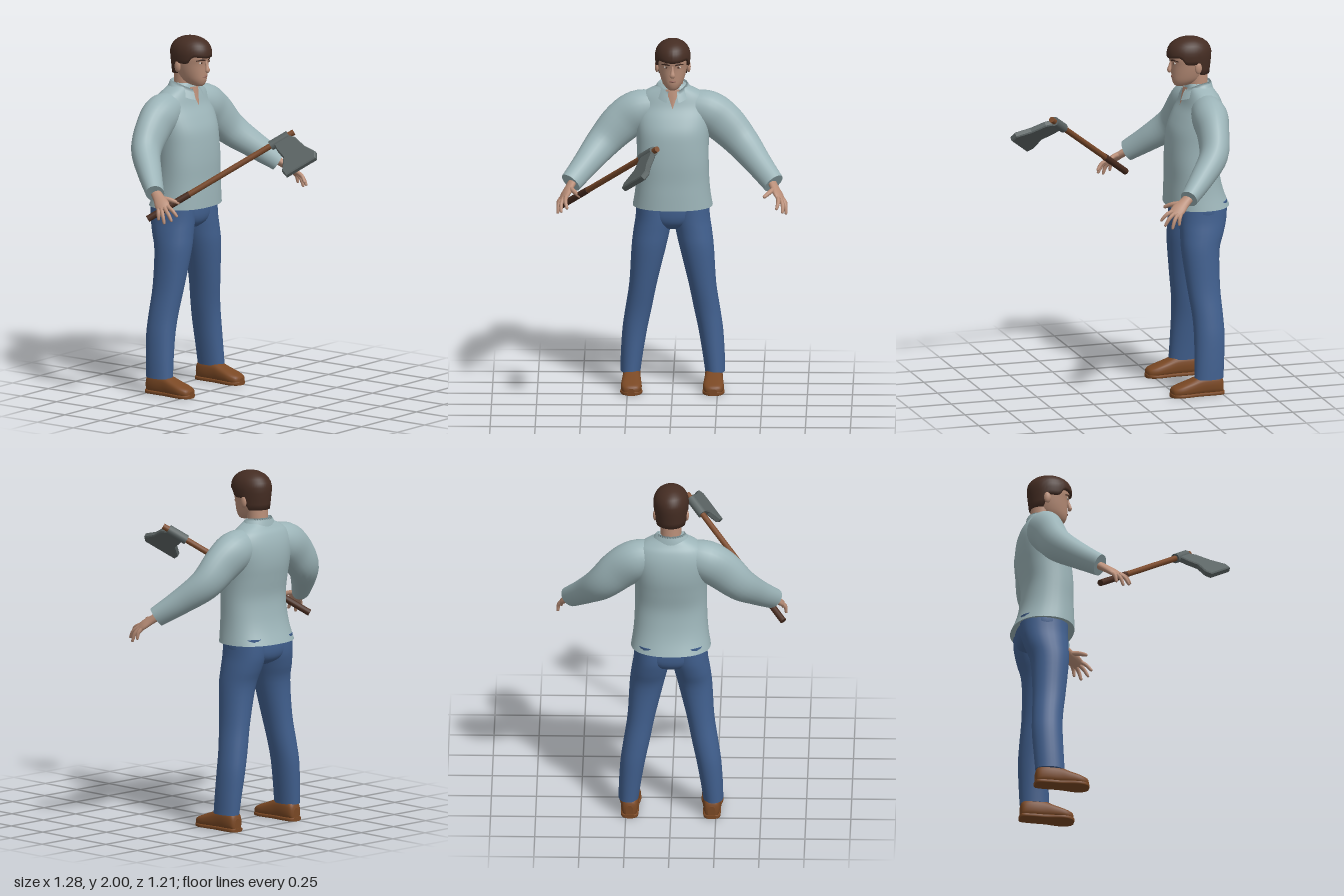
import * as THREE from 'three';

const mat = (name, color, double) => {
  const m = new THREE.MeshStandardMaterial({ color });
  m.name = name;
  if (double) m.side = THREE.DoubleSide;
  return m;
};
const TAU = Math.PI * 2;

// Catmull-Rom resampling of rows of numbers
function resample(rows, steps) {
  const out = [], n = rows.length, row = (i) => rows[Math.min(n - 1, Math.max(0, i))];
  for (let i = 0; i < n - 1; i++) {
    for (let s = 0; s < steps; s++) {
      const t = s / steps;
      out.push(rows[i].map((b, k) => {
        const a = row(i - 1)[k], c = row(i + 1)[k], d = row(i + 2)[k];
        return b + 0.5 * t * (c - a + t * (2 * a - 5 * b + 4 * c - d + t * (3 * (b - c) + d - a)));
      }));
    }
  }
  out.push(rows[n - 1]);
  return out;
}

// Skin over closed cross-sections, with separate flat end caps
function loft(rings) {
  const n = rings[0].length, pos = [], idx = [];
  rings.forEach((r) => r.forEach((p) => pos.push(...p)));
  for (let i = 0; i < rings.length - 1; i++) {
    for (let j = 0; j < n; j++) {
      const a = i * n + j, b = i * n + (j + 1) % n;
      idx.push(a, b, b + n, a, b + n, a + n);
    }
  }
  [rings[0], rings[rings.length - 1]].forEach((r, end) => {
    const base = pos.length / 3;
    r.forEach((p) => pos.push(...p));
    pos.push(...[0, 1, 2].map((k) => r.reduce((s, p) => s + p[k], 0) / n));
    for (let j = 0; j < n; j++) {
      const a = base + j, b = base + (j + 1) % n;
      idx.push(base + n, end ? a : b, end ? b : a);
    }
  });
  const g = new THREE.BufferGeometry();
  g.setAttribute('position', new THREE.Float32BufferAttribute(pos, 3));
  g.setIndex(idx);
  g.computeVertexNormals();
  return g;
}

const angles = (n) => Array.from({ length: n }, (_, j) => (j / n) * TAU);
const pw = (v, e) => Math.sign(v) * Math.abs(v) ** e;

// Upright body: rows of [y, centre x, half width, front z, back z], rising
const upright = (rows, e = 1, n = 32) => loft(resample(rows, 4).map(([y, cx, rx, zf, zb]) =>
  angles(n).map((t) => [cx + rx * pw(Math.sin(t), e), y, (zf + zb) / 2 + (zf - zb) / 2 * pw(Math.cos(t), e)])));

// Limb along a path: rows of [x, y, z, radius a, radius b]; b lies along ref
function limb(rows, s = 1, ref = [0, 0, 1], n = 16, steps = 5) {
  const path = resample(rows.map(([x, ...r]) => [x * s, ...r]), steps);
  const at = (i) => new THREE.Vector3(...path[Math.min(path.length - 1, Math.max(0, i))].slice(0, 3));
  const up = new THREE.Vector3(ref[0] * s, ref[1], ref[2]);
  return loft(path.map(([, , , ra, rb], i) => {
    const T = at(i + 1).sub(at(i - 1)).normalize();
    const B = up.clone().addScaledVector(T, -up.dot(T)).normalize();
    const A = B.clone().cross(T);
    return angles(n).map((t) => at(i).addScaledVector(A, ra * Math.cos(t)).addScaledVector(B, rb * Math.sin(t)).toArray());
  }));
}

// Open sheet from rows of points
function sheet(rows) {
  const n = rows[0].length, idx = [];
  for (let i = 0; i < rows.length - 1; i++) {
    for (let j = 0; j < n - 1; j++) {
      const a = i * n + j;
      idx.push(a, a + 1, a + n + 1, a, a + n + 1, a + n);
    }
  }
  const g = new THREE.BufferGeometry();
  g.setAttribute('position', new THREE.Float32BufferAttribute(rows.flat(2), 3));
  g.setIndex(idx);
  g.computeVertexNormals();
  return g;
}

export function createModel() {
  const model = new THREE.Group();
  model.name = 'manWithAxe';
  const shirt = mat('shirt', 0x9cb4b8, true), denim = mat('denim', 0x41608f), leather = mat('shoeLeather', 0x7a4824);
  const skin = mat('skin', 0xb98e78, true), hair = mat('hair', 0x452d23, true), steel = mat('steel', 0x5c6565);
  const wood = mat('wood', 0x7c4b2c), grip = mat('grip', 0x4a2d20), white = mat('eyeWhite', 0xd8d0c8), lip = mat('lips', 0x96665a);
  const add = (name, geo, m, parent = model) => {
    const mesh = new THREE.Mesh(geo, m);
    mesh.name = name;
    parent.add(mesh);
    return mesh;
  };
  const ball = (name, m, p, sc) => {
    const b = add(name, new THREE.SphereGeometry(1, 14, 10), m);
    b.position.set(...p);
    b.scale.set(...sc);
  };

  // Shirt body and pelvis
  add('shirtBody', upright([
    [1.045, 0, 0.222, -0.25, -0.6], [1.12, 0, 0.21, -0.252, -0.57], [1.2, 0, 0.203, -0.255, -0.55],
    [1.3, 0, 0.2, -0.255, -0.54], [1.4, 0, 0.2, -0.262, -0.555], [1.48, 0, 0.205, -0.275, -0.568],
    [1.55, 0, 0.21, -0.305, -0.57], [1.61, 0, 0.205, -0.338, -0.562], [1.66, 0, 0.185, -0.355, -0.545],
    [1.69, 0, 0.15, -0.365, -0.525], [1.715, 0, 0.1, -0.372, -0.51], [1.735, 0, 0.068, -0.38, -0.5],
  ], 0.88, 40), shirt);
  add('trouserSeat', upright([
    [0.92, 0, 0.06, -0.35, -0.5], [0.95, 0, 0.14, -0.315, -0.55], [1.0, 0, 0.2, -0.3, -0.57], [1.09, 0, 0.2, -0.3, -0.57],
  ], 0.9), denim);

  // Shirt collar: stand, fold and fall around the neck, open at the front
  const collarRow = (y, dip, rx, rz, out) => Array.from({ length: 33 }, (_, j) => {
    const t = 0.3 + (j / 32) * (TAU - 0.6), k = ((1 + Math.cos(t)) / 2) ** 3;
    return [rx * Math.sin(t), y - dip * k, -0.435 + (rz + out * k) * Math.cos(t)];
  });
  add('collar', sheet([collarRow(1.7, 0.04, 0.072, 0.066, 0.01), collarRow(1.747, 0.045, 0.078, 0.07, 0.012),
    collarRow(1.735, 0.055, 0.088, 0.077, 0.02), collarRow(1.697, 0.055, 0.112, 0.085, 0.03)]), shirt);
  add('openNeck', sheet([[[-0.04, 1.715, -0.364], [0, 1.715, -0.352], [0.04, 1.715, -0.364]],
    [[-0.02, 1.665, -0.348], [0, 1.665, -0.343], [0.02, 1.665, -0.348]],
    [[-0.001, 1.612, -0.331], [0, 1.612, -0.331], [0.001, 1.612, -0.331]]]), skin);

  for (const [s, side] of [[1, 'left'], [-1, 'right']]) {
    // Sleeve
    add(side + 'Sleeve', limb([
      [0.08, 1.6, -0.445, 0.09, 0.08], [0.19, 1.575, -0.445, 0.115, 0.1], [0.285, 1.508, -0.435, 0.115, 0.088],
      [0.385, 1.405, -0.405, 0.096, 0.08], [0.48, 1.305, -0.305, 0.075, 0.066], [0.563, 1.22, -0.205, 0.062, 0.05],
    ], s, [0, 0, 1], 24), shirt);
    // Hand
    const across = [0.4, -0.1, -0.9];
    add(side + 'Palm', limb([[0.545, 1.235, -0.225, 0.024, 0.028], [0.57, 1.2, -0.175, 0.02, 0.032],
      [0.59, 1.172, -0.137, 0.018, 0.04], [0.606, 1.147, -0.107, 0.012, 0.036]], s, across), skin);
    const fingers = {
      Index: [[0.588, 1.165, -0.1], [0.58, 1.11, -0.035]], Middle: [[0.602, 1.157, -0.11], [0.614, 1.087, -0.048]],
      Ring: [[0.611, 1.152, -0.125], [0.634, 1.072, -0.085]], Little: [[0.612, 1.152, -0.143], [0.635, 1.09, -0.125]],
      Thumb: [[0.57, 1.2, -0.165], [0.508, 1.17, -0.075]],
    };
    for (const [name, [a, b]] of Object.entries(fingers)) {
      const mid = a.map((v, k) => (v + b[k]) / 2 + [0.006, 0.008, 0.004][k]);
      const near = b.map((v, k) => v + (mid[k] - v) * 0.15);
      const r = name === 'Thumb' ? 0.014 : 0.0115;
      add(side + name, limb([[...a, r, r], [...mid, r * 0.95, r * 0.95], [...near, r * 0.7, r * 0.7], [...b, 0.002, 0.002]], s, across, 10, 4), skin);
    }
    // Trouser leg
    add(side + 'TrouserLeg', upright([
      [0.095, 0.235, 0.056, -0.343, -0.508], [0.2, 0.226, 0.062, -0.347, -0.515], [0.335, 0.21, 0.069, -0.35, -0.522],
      [0.45, 0.19, 0.073, -0.345, -0.518], [0.6, 0.164, 0.077, -0.325, -0.51], [0.8, 0.134, 0.095, -0.302, -0.515],
      [0.9, 0.117, 0.101, -0.3, -0.545], [0.98, 0.104, 0.102, -0.3, -0.565], [1.08, 0.1, 0.1, -0.3, -0.57],
    ].map(([y, x, ...r]) => [y, x * s, ...r]), 0.95, 28), denim);
    // Shoe: rows of [z, half width, height], with a flat tread
    const shoe = (rows, e, base) => loft(resample(rows, 4).map(([z, w, h]) =>
      angles(24).map((t) => [0.228 * s + w * pw(Math.cos(t), e), base + h / 2 + h / 2 * pw(Math.sin(t), e), z])));
    add(side + 'Shoe', shoe([[-0.508, 0.02, 0.07], [-0.495, 0.04, 0.1], [-0.45, 0.049, 0.115], [-0.38, 0.05, 0.11],
      [-0.32, 0.055, 0.088], [-0.26, 0.058, 0.066], [-0.22, 0.044, 0.05], [-0.208, 0.02, 0.035]], 0.75, 0.004), leather);
    add(side + 'Sole', shoe([[-0.512, 0.025, 0.022], [-0.495, 0.045, 0.022], [-0.43, 0.05, 0.022], [-0.36, 0.05, 0.022],
      [-0.27, 0.062, 0.022], [-0.222, 0.048, 0.022], [-0.205, 0.022, 0.022]], 0.4, 0), leather);
    // Ear, eye and brow
    ball(side + 'Ear', skin, [0.088 * s, 1.835, -0.412], [0.012, 0.033, 0.02]);
    ball(side + 'Eye', white, [0.034 * s, 1.86, -0.291], [0.014, 0.006, 0.006]);
    ball(side + 'Iris', grip, [0.034 * s, 1.86, -0.286], [0.006, 0.006, 0.003]);
    add(side + 'Brow', limb([[0.014, 1.874, -0.277, 0.004, 0.005], [0.036, 1.879, -0.284, 0.004, 0.006],
      [0.06, 1.873, -0.306, 0.003, 0.004]], s, [0, 1, 0], 8), hair);
  }

  // Neck and head
  add('neck', upright([[1.64, 0, 0.062, -0.375, -0.5], [1.72, 0, 0.058, -0.375, -0.492], [1.82, 0, 0.058, -0.37, -0.488]]), skin);
  add('head', upright([
    [1.722, 0, 0.018, -0.31, -0.35], [1.733, 0, 0.037, -0.297, -0.4], [1.76, 0, 0.057, -0.287, -0.45],
    [1.8, 0, 0.071, -0.284, -0.475], [1.85, 0, 0.082, -0.281, -0.49], [1.89, 0, 0.087, -0.272, -0.497],
    [1.93, 0, 0.082, -0.28, -0.49], [1.97, 0, 0.05, -0.32, -0.45],
  ], 0.95), skin);
  add('nose', limb([[0, 1.872, -0.283, 0.006, 0.006], [0, 1.84, -0.275, 0.009, 0.009], [0, 1.815, -0.269, 0.015, 0.011],
    [0, 1.805, -0.275, 0.009, 0.007]], 1, [0, 0, 1], 12), skin);
  add('mouth', limb([[-0.027, 1.776, -0.297, 0.002, 0.002], [0, 1.779, -0.285, 0.005, 0.006], [0.027, 1.776, -0.297, 0.002, 0.002]],
    1, [0, 1, 0], 8), lip);

  // Hair: cap whose lower rim drops from the brow to the nape
  const rim = (t) => {
    const a = Math.abs(((t + Math.PI) % TAU) - Math.PI), step = THREE.MathUtils.smoothstep;
    return 1.888 + 0.008 * step(a, 0.2, 0.8) - 0.04 * step(a, 0.95, 1.25) - 0.066 * step(a, 1.75, 2.1);
  };
  const hairRow = (k, inset) => Array.from({ length: 49 }, (_, j) => {
    const t = (j / 48) * TAU, y = rim(t) + (2 - rim(t)) * k;
    const f = inset * (y > 1.9 ? Math.sqrt(Math.max(0, 1 - ((y - 1.9) / 0.1) ** 2.4)) : 1 - 0.9 * (1.9 - y));
    return [0.099 * f * Math.sin(t), y, -0.385 + 0.127 * f * Math.cos(t)];
  });
  add('hair', sheet([hairRow(0, 0.8), ...[0, 0.15, 0.3, 0.45, 0.6, 0.72, 0.82, 0.9, 0.96, 0.99, 1].map((k) => hairRow(k, 1))]), hair);

  // Axe: x runs up the handle, y out to the cutting edge
  const axe = new THREE.Group();
  axe.name = 'axe';
  const d = new THREE.Vector3(0.577, 0.508, 0.64).normalize();
  const u = new THREE.Vector3(-0.38, -0.526, 0.763);
  u.addScaledVector(d, -u.dot(d)).normalize();
  axe.quaternion.setFromRotationMatrix(new THREE.Matrix4().makeBasis(d, u, d.clone().cross(u)));
  axe.position.set(-0.13, 1.515, 0.33);
  model.add(axe);
  const rod = (name, r, from, to, m) => add(name,
    new THREE.CylinderGeometry(r, r, to - from, 14).rotateZ(-Math.PI / 2).translate((from + to) / 2, 0, 0), m, axe);
  rod('handle', 0.0165, -0.6, 0.096, wood);
  rod('handleGrip', 0.0185, -0.849, -0.58, grip);
  rod('axeSocket', 0.027, -0.055, 0.062, steel);
  const outline = [[-0.035, 0.005], [-0.035, 0.06], [-0.024, 0.13], [-0.067, 0.21], [-0.06, 0.25],
    [0.132, 0.25], [0.15, 0.21], [0.11, 0.13], [0.09, 0.045], [0.06, 0.005]];
  const blade = new THREE.Shape(outline.map(([x, y]) => new THREE.Vector2(x, y)));
  add('axeBlade', new THREE.ExtrudeGeometry(blade, { depth: 0.022, bevelThickness: 0.006, bevelSize: 0.006, bevelOffset: -0.006, bevelSegments: 1 })
    .translate(0, 0, -0.011), steel, axe);
  return model;
}
